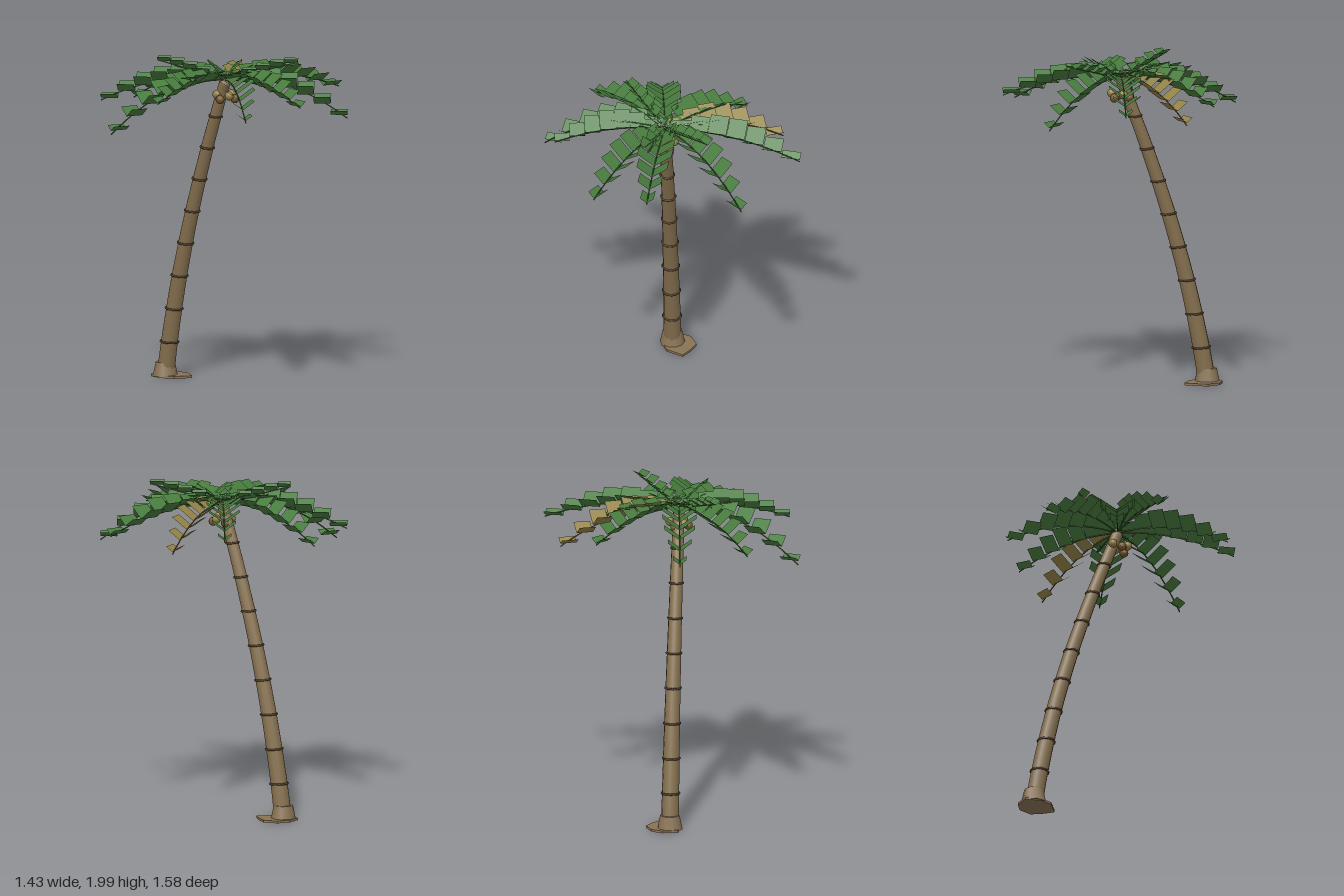
import * as THREE from 'three';
import { mergeGeometries } from 'three/addons/utils/BufferGeometryUtils.js';

const mat = (name, color, side = THREE.FrontSide) => {
  const m = new THREE.MeshStandardMaterial({ color, side });
  m.name = name;
  return m;
};

export function createModel() {
  const palm = new THREE.Group();
  palm.name = 'palmTree';
  const bark = mat('bark', 0x86704f);
  const ringBrown = mat('ringBrown', 0x55412f);
  const rootTan = mat('rootTan', 0x8a7355);
  const leafGreen = mat('leafGreen', 0x487c3e, THREE.DoubleSide);
  const stemGreen = mat('stemGreen', 0x3d6630);
  const dryLeaf = mat('dryLeaf', 0x948547, THREE.DoubleSide);
  const nutOlive = mat('nutOlive', 0x928044);
  const nutBrown = mat('nutBrown', 0x75572f);

  const add = (name, geometry, material, parent = palm) => {
    const mesh = new THREE.Mesh(geometry, material);
    mesh.name = name;
    parent.add(mesh);
    return mesh;
  };
  const V = (x, y, z) => new THREE.Vector3(x, y, z);
  const CZ = 0.035;

  // Leaning trunk: a tapered tube, its radius shrinking towards the crown
  const path = new THREE.CatmullRomCurve3([
    V(-0.52, 0.01, CZ), V(-0.485, 0.22, CZ), V(-0.4, 0.62, CZ), V(-0.288, 1.03, CZ),
    V(-0.155, 1.435, CZ), V(-0.08, 1.64, CZ), V(-0.005, 1.84, CZ)]);
  const radiusAt = (t) => 0.054 - 0.02 * t;
  const SEG = 40, SIDES = 12;
  const trunk = new THREE.TubeGeometry(path, SEG, 1, SIDES);
  const pos = trunk.attributes.position;
  for (let i = 0; i <= SEG; i++) {
    const c = path.getPointAt(i / SEG);
    for (let j = 0; j <= SIDES; j++) {
      const k = i * (SIDES + 1) + j;
      const p = V().fromBufferAttribute(pos, k).sub(c).multiplyScalar(radiusAt(i / SEG)).add(c);
      pos.setXYZ(k, p.x, p.y, p.z);
    }
  }
  add('trunk', trunk, bark);
  add('trunkTop', new THREE.SphereGeometry(0.034, 12, 8), bark).position.set(-0.005, 1.83, CZ);

  // Growth rings at even steps, lying nearly level
  for (let i = 1; i <= 8; i++) {
    const t = 0.1102 * i;
    const ring = add('trunkRing', new THREE.TorusGeometry(radiusAt(t) + 0.002, 0.0065, 6, 14), ringBrown);
    ring.position.copy(path.getPointAt(t));
    const axis = path.getTangentAt(t);
    axis.x *= 0.35;
    ring.quaternion.setFromUnitVectors(V(0, 0, 1), axis.normalize());
  }

  // Flared foot and flat root plate
  add('trunkFoot', new THREE.CylinderGeometry(0.058, 0.076, 0.085, 10), rootTan)
    .position.set(-0.522, 0.0475, CZ);
  const outline = [[-0.61, 0], [-0.58, -0.07], [-0.5, -0.11], [-0.43, -0.08],
    [-0.37, -0.04], [-0.42, 0.06], [-0.5, 0.1], [-0.59, 0.09]];
  const plate = new THREE.ExtrudeGeometry(
    new THREE.Shape(outline.map(([x, z]) => new THREE.Vector2(x, -z))),
    { depth: 0.014, bevelEnabled: false });
  plate.rotateX(-Math.PI / 2);
  add('rootPlate', plate, rootTan);

  // Frond: arched stem with pairs of stepped, level leaflets forming a V
  function frond(name, [x, z, tipY], { widths, arch, rise, leaf, stem }) {
    const group = new THREE.Group();
    group.name = name;
    palm.add(group);
    const y0 = 1.855;
    const dx = x, dz = z - CZ, length = Math.hypot(dx, dz);
    const out = V(dx / length, 0, dz / length);
    const side = V(-out.z, 0, out.x);
    const at = (t) => V(dx * t, y0 + arch * t + (tipY - y0 - arch) * t * t, CZ + dz * t);

    const pieces = [], stemPoints = [];
    for (let i = 0; i <= 8; i++) stemPoints.push(at(i / 8));
    const n = widths.length, start = 0.04, step = (1 - start) / n;
    widths.forEach((w, i) => {
      const t0 = start + i * step;
      const inner = at(t0), outer = at(t0 + step);
      inner.y = outer.y = at(t0 + 0.72 * step).y;
      for (const s of [1, -1]) {
        const offset = side.clone().multiplyScalar(s * w);
        offset.y = w * rise;
        const p = [inner, outer];
        const q = p.map((v) => v.clone().add(offset));
        const ring = s > 0 ? [p[0], q[0], q[1], p[1]] : [p[0], p[1], q[1], q[0]];
        const g = new THREE.BufferGeometry().setFromPoints(
          [0, 2, 1, 0, 3, 2].map((k) => ring[k]));
        g.computeVertexNormals();
        pieces.push(g);
      }
    });
    add('leaflets', mergeGeometries(pieces), leaf, group);
    add('frondStem', new THREE.TubeGeometry(
      new THREE.CatmullRomCurve3(stemPoints), 12, 0.004, 5), stem, group);
  }

  // Large drooping fronds: tip x, z and height
  const big = { widths: [0.045, 0.08, 0.1, 0.103, 0.092, 0.07, 0.04],
    arch: 0.11, rise: 0.72, leaf: leafGreen, stem: stemGreen };
  const tips = [[0.12, -0.785, 1.745], [0.53, -0.47, 1.63], [0.71, 0.085, 1.77],
    [0.58, 0.415, 1.7], [0.1, 0.69, 1.79], [-0.215, 0.775, 1.58],
    [-0.58, 0.51, 1.72], [-0.71, 0.115, 1.68], [-0.485, -0.415, 1.74]];
  tips.forEach((tip) => frond('frond', tip, big));
  frond('dryFrond', [-0.275, -0.65, 1.67], { ...big, leaf: dryLeaf, stem: nutBrown });

  // Two young fronds rising from the crown
  const young = { widths: [0.025, 0.04, 0.045, 0.045, 0.035],
    arch: 0.12, rise: 0.8, leaf: leafGreen, stem: stemGreen };
  for (const tip of [[0.33, -0.25, 1.97], [-0.32, 0.29, 1.97]]) frond('youngFrond', tip, young);

  // Slim spear leaves lying low over the crown
  const spear = { widths: [0.024, 0.03, 0.026, 0.018, 0.01],
    arch: 0.1, rise: 0.6, leaf: leafGreen, stem: stemGreen };
  const spears = [[0.34, 0.11, 1.9], [0, 0.37, 1.89], [-0.24, -0.31, 1.9], [-0.02, -0.33, 1.89]];
  spears.forEach((tip) => frond('spearLeaf', tip, spear));

  // Coconut cluster under the crown
  for (let i = 0; i < 6; i++) {
    const a = i * Math.PI / 3 + 0.4;
    const nut = add('coconut', new THREE.SphereGeometry(0.027, 10, 8), i % 2 ? nutBrown : nutOlive);
    nut.position.set(0.005 + 0.055 * Math.cos(a), i % 2 ? 1.745 : 1.768, CZ + 0.055 * Math.sin(a));
  }
  return palm;
}
